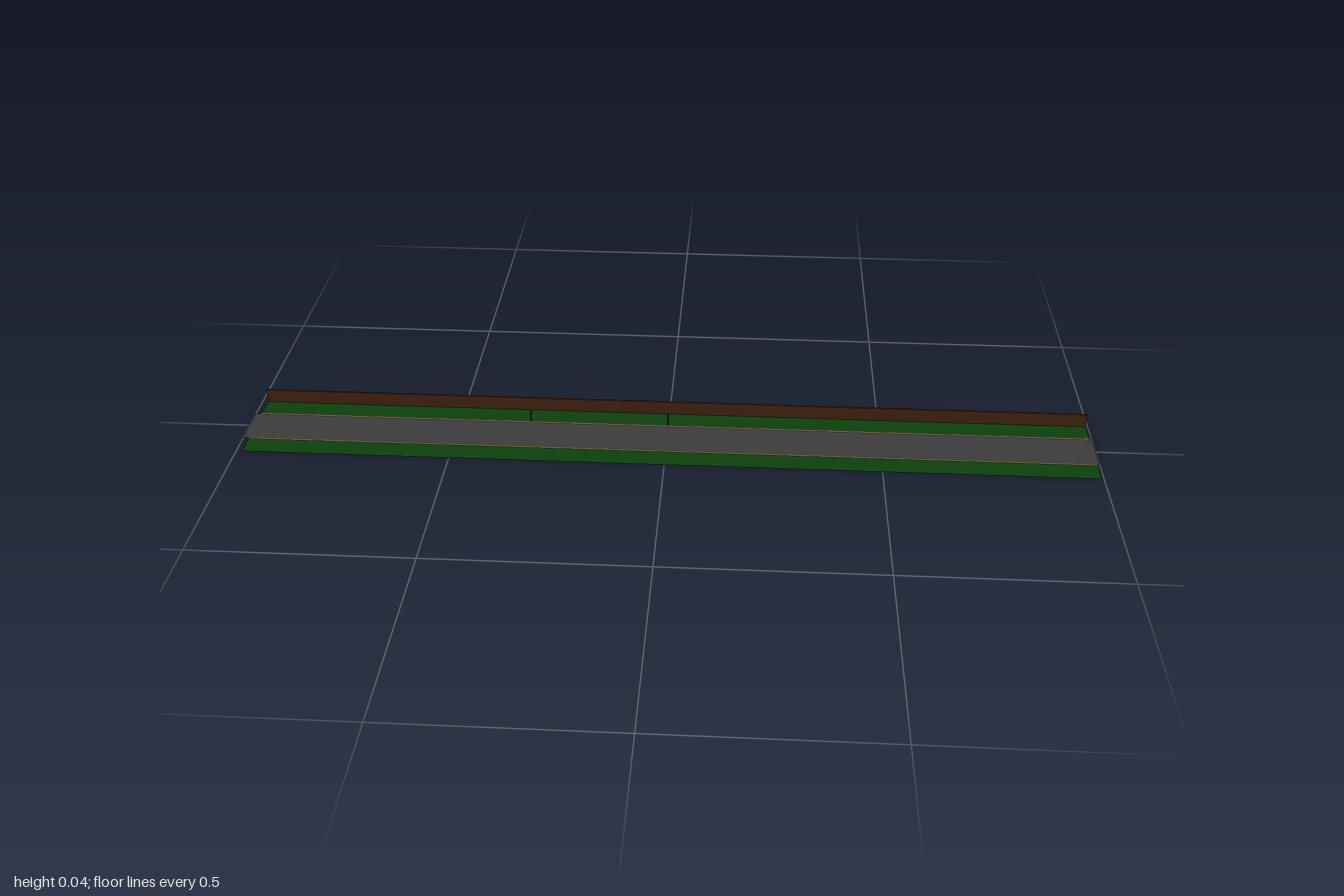
import * as THREE from 'three';

export function createModel() {
  const model = new THREE.Group();
  model.name = 'roadSection';

  const flat = (name, color) => {
    const m = new THREE.MeshStandardMaterial({ color });
    m.name = name;
    return m;
  };
  const asphalt = flat('asphalt grey', 0x3c3c3c);
  const grass = flat('grass green', 0x0d3f0d);
  const wood = flat('fence brown', 0x3e2110);
  const kerbTan = flat('kerb tan', 0xc0a078);
  const postBlack = flat('post black', 0x141414);
  asphalt.side = grass.side = THREE.DoubleSide;

  // Flat strip between two x and two z limits
  function strip(name, x0, x1, z0, z1, y, material) {
    const geo = new THREE.PlaneGeometry(x1 - x0, z1 - z0).rotateX(-Math.PI / 2);
    const mesh = new THREE.Mesh(geo, material);
    mesh.position.set((x0 + x1) / 2, y, (z0 + z1) / 2);
    mesh.name = name;
    model.add(mesh);
  }

  // Box standing on height y
  function block(name, w, h, d, x, y, z, material) {
    const mesh = new THREE.Mesh(new THREE.BoxGeometry(w, h, d), material);
    mesh.position.set(x, y + h / 2, z);
    mesh.name = name;
    model.add(mesh);
  }

  // Road and the verges on either side
  const start = -0.986, end = 0.995;
  const length = end - start, middle = (start + end) / 2;
  strip('road', -1, 1, -0.053, 0.055, 0.001, asphalt);
  strip('frontVerge', start, end, 0.055, 0.114, 0.001, grass);
  strip('backVerge', start, end, -0.114, -0.053, 0.001, grass);

  // Low kerbs along both road edges
  for (const [name, z] of [['frontKerb', 0.057], ['backKerb', -0.053]]) {
    block(name, length, 0.003, 0.004, middle, 0, z, kerbTan);
  }

  // Solid fence along the back
  block('fence', length, 0.034, 0.005, middle, 0, -0.1115, wood);

  // Thin posts by the back kerb
  for (const x of [-0.33, 0]) {
    block('post', 0.003, 0.034, 0.002, x, 0.001, -0.054, postBlack);
  }

  return model;
}
